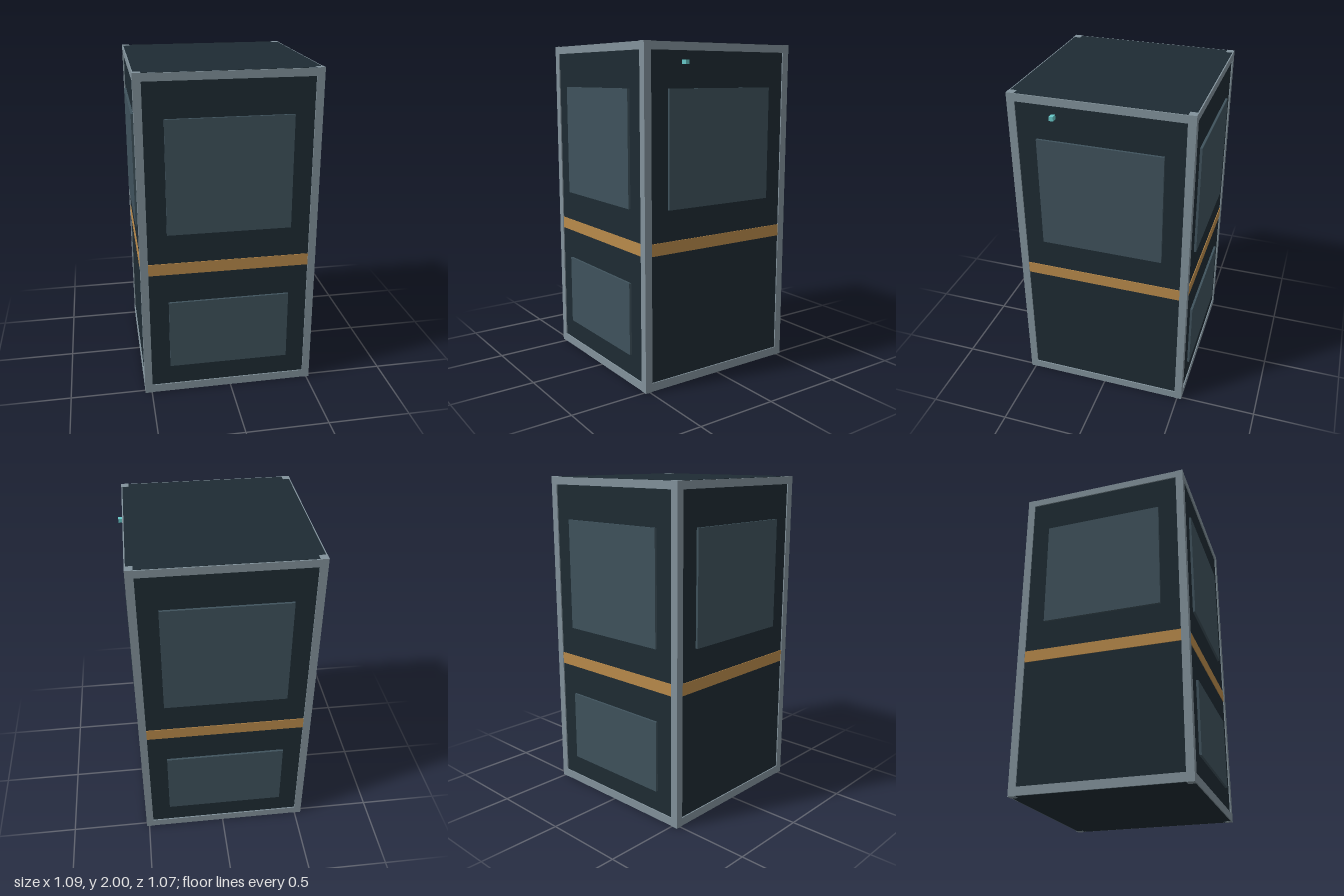
import * as THREE from 'three';

const mat = (color) => new THREE.MeshStandardMaterial({ color });

export function createModel() {
  const model = new THREE.Group();
  // the cabinet sits slightly off centre because the sensor sticks out on one side
  const cabinet = new THREE.Group();
  cabinet.name = 'cabinet';
  cabinet.position.x = -0.0125;
  model.add(cabinet);

  const dark = mat(0x1e2b33), steel = mat(0x82929b), glass = mat(0x3f525c);
  const amber = mat(0xb98a4b), teal = mat(0x66c7c7);

  function box(parent, name, material, size, pos) {
    const mesh = new THREE.Mesh(new THREE.BoxGeometry(...size), material);
    mesh.name = name;
    mesh.position.set(...pos);
    parent.add(mesh);
    return mesh;
  }

  const half = 0.529;  // outer half width of the frame
  const bar = 0.046;   // thickness of the frame bars
  const inset = 0.007; // body face behind the frame face
  const face = half - inset;

  // body
  box(cabinet, 'body', dark, [2 * face, 1.998, 2 * face], [0, 1, 0]);

  // corner posts
  for (const x of [-1, 1]) for (const z of [-1, 1]) {
    box(cabinet, 'cornerPost', steel, [bar, 2, bar],
      [x * (half - bar / 2), 1, z * (half - bar / 2)]);
  }

  // four sides, each built facing +z and turned into place
  ['front', 'left', 'back', 'right'].forEach((label, i) => {
    const side = new THREE.Group();
    side.name = label + 'Side';
    side.rotation.y = i * Math.PI / 2;
    cabinet.add(side);

    // top and bottom rails
    const span = 2 * (half - bar);
    for (const y of [0.0275, 1.9755]) {
      box(side, 'rail', steel, [span, 0.049 + (y < 1 ? 0.002 : -0.004), bar], [0, y, half - bar / 2]);
    }
    // trim stripe
    box(side, 'stripe', amber, [span, 0.072, 0.01], [0, 0.845, face - 0.001]);

    // raised panels; the lower one is on the front and back only
    const depth = 0.016, z = half + 0.007 - depth / 2;
    box(side, 'upperPanel', glass, [0.735, 0.68, depth], [0, 1.405, z]);
    if (i % 2 === 0) box(side, 'lowerPanel', glass, [0.735, 0.44, depth], [0, 0.405, z]);
  });

  // small sensor on the left side
  box(model, 'sensor', teal, [0.04, 0.025, 0.025], [0.525, 1.89, 0.26]);

  return model;
}
